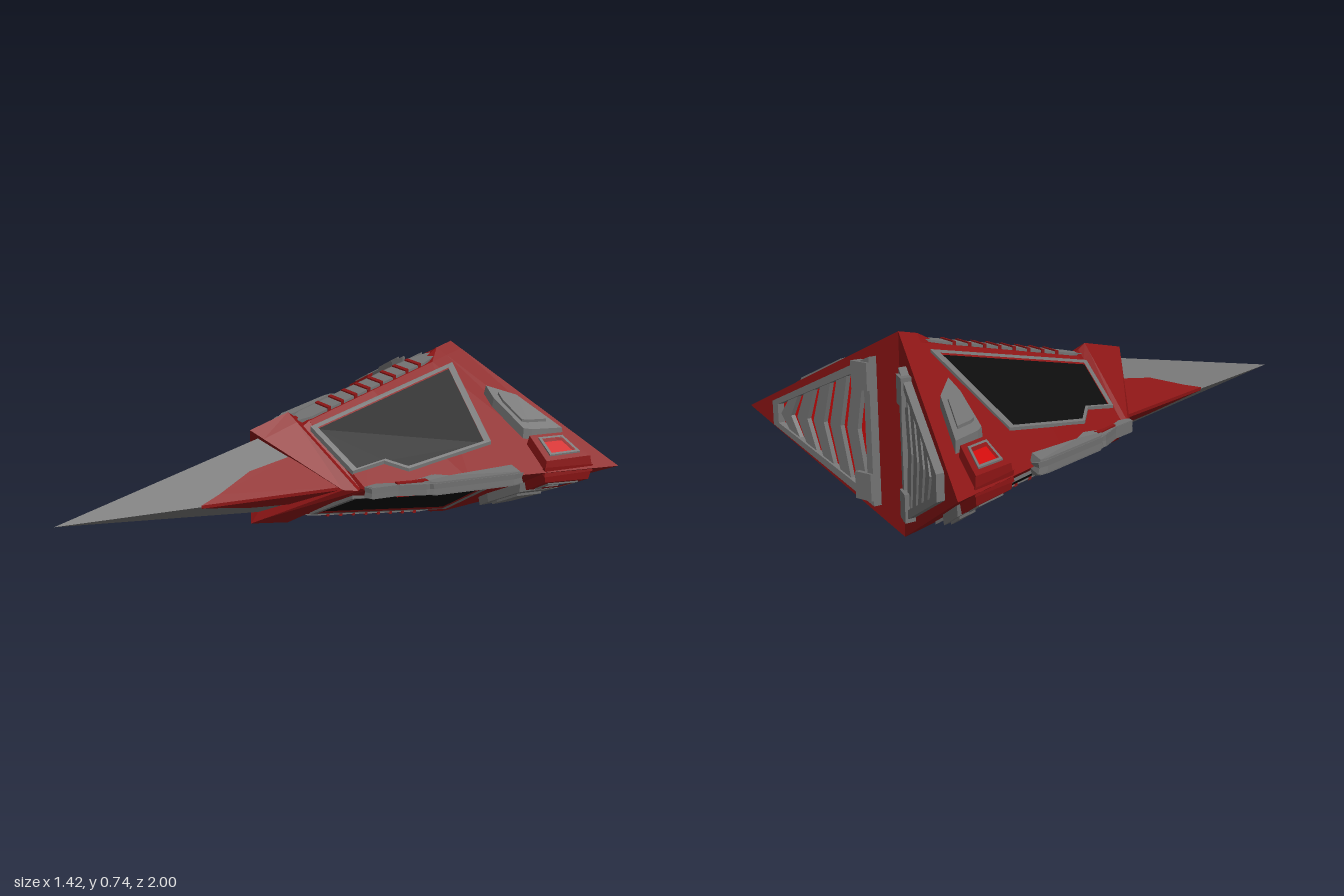
import * as THREE from 'three';
import { mergeGeometries } from 'three/addons/utils/BufferGeometryUtils.js';

const paint = (color) => new THREE.MeshStandardMaterial({ color, flatShading: true });

// Hull measures, relative to the centre line; t runs front (0) to rear (1)
const ridge = (t) => new THREE.Vector3(0, 0.215 + 0.153 * t, -0.03 - 0.74 * t);
const edge = (t) => new THREE.Vector3(0.35 + 0.36 * t, 0, -0.07 - 0.93 * t);

// Height of the upper hull face above (x, z)
function hullY(x, z) {
  let t = 0.5, v = 0;
  for (let i = 0; i < 25; i++) {
    v = x / (0.35 + 0.36 * t);
    t = (-0.03 - 0.04 * v - z) / (0.74 + 0.19 * v);
  }
  return Math.max(0, (1 - v) * (0.215 + 0.153 * t));
}
const spikeY = (x, z) => Math.max(0, 0.175 * (1 - z) - 0.625 * x);

// Mirrors baked geometry, turning the faces round when needed
function mirrored(geo, sx, sy) {
  const g = geo.clone().scale(sx, sy, 1);
  if (sx * sy > 0) return g;
  const n = g.attributes.position.count;
  g.setIndex(Array.from({ length: n }, (_, i) => n - 1 - i));
  return g.toNonIndexed();
}
function spread(geo, signs) {
  const g = mergeGeometries(signs.map(([sx, sy]) => mirrored(geo, sx, sy)));
  g.computeVertexNormals();
  return g;
}
const FOUR = [[1, 1], [-1, 1], [1, -1], [-1, -1]];
const TWO = [[1, 1], [-1, 1]];

const centre = (pts) => pts.reduce((c, p) => [c[0] + p[0] / pts.length, c[1] + p[1] / pts.length], [0, 0]);
function inset(pts, f) {
  const c = centre(pts);
  return pts.map((p) => [c[0] + (p[0] - c[0]) * f, c[1] + (p[1] - c[1]) * f]);
}

// Extrudes an outline, optionally holed and tapered towards its top
function slab(pts, depth, hole, taper = 1) {
  const vec = (list) => list.map((p) => new THREE.Vector2(...p));
  const shape = new THREE.Shape(vec(pts));
  if (hole) shape.holes.push(new THREE.Path(vec(hole)));
  const geo = new THREE.ExtrudeGeometry(shape, { depth, bevelEnabled: false });
  const c = centre(pts), p = geo.attributes.position;
  for (let i = 0; i < p.count; i++) {
    if (p.getZ(i) < depth / 2) continue;
    p.setX(i, c[0] + (p.getX(i) - c[0]) * taper);
    p.setY(i, c[1] + (p.getY(i) - c[1]) * taper);
  }
  return geo;
}

// Plate lying on an upper face, outline in (x, z)
function facePlate(pts, rise, { hole, taper, height = hullY, sink = 0.02 } = {}) {
  const flip = (list) => list && list.map(([x, z]) => [x, -z]);
  const geo = slab(flip(pts), rise + sink, flip(hole), taper);
  const p = geo.attributes.position;
  for (let i = 0; i < p.count; i++) {
    const x = p.getX(i), z = -p.getY(i);
    p.setXYZ(i, x, height(x, z) + p.getZ(i) - sink, z);
  }
  return geo;
}

// Plate lying on the slanted rear face, outline in (x, y)
function rearPlate(pts, rise, hole) {
  const geo = slab(pts, rise + 0.02, hole);
  const p = geo.attributes.position;
  for (let i = 0; i < p.count; i++) {
    const x = p.getX(i);
    p.setXYZ(i, -x, p.getY(i), -0.75 - 0.324 * x - p.getZ(i));
  }
  return geo;
}

// Skins diamond rings, each given by its upper quarter from ridge to edge
function loft(quarters, frontCentre, rearCentre) {
  const rings = quarters.map((q) => {
    const flip = (list, sx, sy) => list.map((p) => new THREE.Vector3(p.x * sx, p.y * sy, p.z));
    const back = [...q].reverse();
    return [...flip(q.slice(0, -1), 1, 1), ...flip(back.slice(0, -1), 1, -1),
      ...flip(q.slice(0, -1), -1, -1), ...flip(back.slice(0, -1), -1, 1)];
  });
  const out = [], n = rings[0].length, last = rings[rings.length - 1];
  for (let j = 0; j < n; j++) {
    const k = (j + 1) % n;
    for (let i = 0; i + 1 < rings.length; i++) {
      const a = rings[i], b = rings[i + 1];
      out.push(a[j], a[k], b[j], a[k], b[k], b[j]);
    }
    out.push(frontCentre, rings[0][k], rings[0][j], rearCentre, last[j], last[k]);
  }
  const geo = new THREE.BufferGeometry().setFromPoints(out);
  geo.computeVertexNormals();
  return geo;
}

export function createModel() {
  const group = new THREE.Group();
  const red = paint(0x8a1414), grey = paint(0x727272), black = paint(0x0b0b0b), glow = paint(0xd00a0a);
  const add = (name, geo, mat) => {
    const mesh = new THREE.Mesh(geo, mat);
    mesh.name = name;
    mesh.position.y = 0.3675;
    group.add(mesh);
  };
  const onFaces = (name, geo, mat) => add(name, spread(geo, FOUR), mat);
  const onRear = (name, geo, mat) => add(name, spread(geo, TWO), mat);

  // Hull with a collar, a groove and a flattened channel along each ridge
  const quarter = (r, e, flat) => {
    const mid = r.clone().lerp(e, 0.045 / e.x);
    if (flat) r = new THREE.Vector3(0, mid.y, r.z);
    return [r, mid, e];
  };
  const diamond = (h, w, zr, zs) => quarter(new THREE.Vector3(0, h, zr), new THREE.Vector3(w, 0, zs));
  add('hull', loft([
    diamond(0.15, 0.25, 0.17, 0),
    diamond(0.185, 0.3, 0.2, 0),
    diamond(0.222, 0.34, 0.03, -0.04),
    diamond(0.2, 0.325, 0.0, -0.06),
    ...[0, 0.4, 0.8, 0.9, 1].map((t) => quarter(ridge(t), edge(t), t < 0.85)),
  ], new THREE.Vector3(0, 0, 0), new THREE.Vector3(0, 0, -0.77)), red);

  // Nose spike with red cheeks
  const spike = new THREE.ConeGeometry(1, 1.05, 4).rotateX(Math.PI / 2);
  spike.scale(0.294, 0.184, 1).translate(0, 0, 0.475);
  add('noseSpike', spike, grey);
  onFaces('noseCheek', facePlate(
    [[0.14, 0.5], [0.13, 0.42], [0.1, 0.27], [0.11, 0.1], [0.11, 0], [0.282, 0]],
    0.006, { height: spikeY, sink: 0.006 }), red);

  // Dark windows in thin frames
  const pane = [[0.09, -0.7], [0.42, -0.61], [0.365, -0.255], [0.3, -0.19], [0.28, -0.06], [0.075, -0.02]];
  onFaces('windowFrame', facePlate(pane, 0.012, { hole: inset(pane, 0.92) }), grey);
  onFaces('windowPane', facePlate(inset(pane, 0.93), 0.004), black);

  // Ladder vent along the ridge
  const channelY = (x, z) => hullY(0.045, z);
  const vent = [[-0.04, -0.6], [-0.025, -0.66], [0, -0.69], [0.025, -0.66], [0.04, -0.6],
    [0.04, -0.05], [0.02, 0], [0, 0.03], [-0.02, 0], [-0.04, -0.05]];
  const vertical = [[1, 1], [1, -1]];
  add('ridgeVent', spread(facePlate(vent, 0.01, { height: channelY }), vertical), grey);
  const rungs = [];
  for (let i = 0; i < 8; i++) {
    const z = -0.58 + i * 0.063;
    rungs.push(facePlate([[-0.041, z], [0.041, z], [0.041, z + 0.014], [-0.041, z + 0.014]],
      0.015, { height: channelY }));
  }
  add('ventRungs', spread(mergeGeometries(rungs), vertical), red);

  // Armour strips along the side edges
  const rearStrip = [[0.54, -0.62], [0.59, -0.62], [0.585, -0.58], [0.485, -0.27], [0.45, -0.24], [0.43, -0.31], [0.46, -0.36]];
  const frontStrip = [[0.43, -0.32], [0.475, -0.31], [0.475, -0.25], [0.42, -0.16], [0.39, -0.06], [0.36, -0.05], [0.36, -0.1], [0.42, -0.2]];
  onFaces('rearEdgeStrip', facePlate(rearStrip, 0.026, { taper: 0.93 }), grey);
  onFaces('frontEdgeStrip', facePlate(frontStrip, 0.022, { taper: 0.95 }), grey);
  onFaces('edgeInlay', facePlate([[0.435, -0.27], [0.46, -0.27], [0.415, -0.16], [0.4, -0.16], [0.425, -0.22]], 0.028), red);

  // Raised wing pods
  const pod = [[0.24, -0.73], [0.33, -0.82], [0.53, -0.89], [0.48, -0.77], [0.46, -0.74], [0.3, -0.72]];
  onFaces('wingPod', facePlate(pod, 0.038, { taper: 0.93 }), grey);
  onFaces('wingPodRidge', facePlate(inset(pod, 0.65), 0.048, { taper: 0.9 }), grey);

  // Thruster housings with glowing cores
  const box = [[0.48, -0.735], [0.535, -0.885], [0.665, -0.91], [0.6, -0.72]];
  onFaces('thrusterHousing', facePlate(box, 0.038, { hole: inset(box, 0.6), taper: 0.9 }), red);
  onFaces('thrusterLip', facePlate(inset(box, 0.62), 0.044, { hole: inset(box, 0.5) }), grey);
  onFaces('thrusterCore', facePlate(inset(box, 0.52), 0.028), glow);

  // Rear grilles: frame, glowing backing and chevron bars
  const half = (s) => 0.27 - 0.49 * (s - 0.1);
  const frame = [[0.1, -half(0.1)], [0.56, -half(0.56)], [0.56, half(0.56)], [0.1, half(0.1)]];
  const opening = [[0.125, -0.225], [0.535, -0.035], [0.535, 0.035], [0.125, 0.225]];
  onRear('grilleFrame', rearPlate(frame, 0.03, opening), grey);
  onRear('grilleGlow', rearPlate(inset(frame, 0.97), 0.006), glow);
  const bars = [];
  for (let i = 0; i < 5; i++) {
    const s = 0.13 + i * 0.078, e = s + 0.048;
    const a = half(s) - 0.02, b = half(e) - 0.02;
    bars.push(rearPlate([[s, -a], [e, -b], [e + 0.04, 0], [e, b], [s, a], [s + 0.04, 0]], 0.022));
  }
  onRear('grilleBars', mergeGeometries(bars), grey);
  // Small blocks at the inner ends of the grilles
  const nubs = [-1, 1].map((k) => rearPlate(
    [[0.1, k * 0.2 - 0.05], [0.17, k * 0.2 - 0.05], [0.17, k * 0.2 + 0.05], [0.1, k * 0.2 + 0.05]], 0.04));
  onRear('grilleBlocks', mergeGeometries(nubs), grey);

  return group;
}
